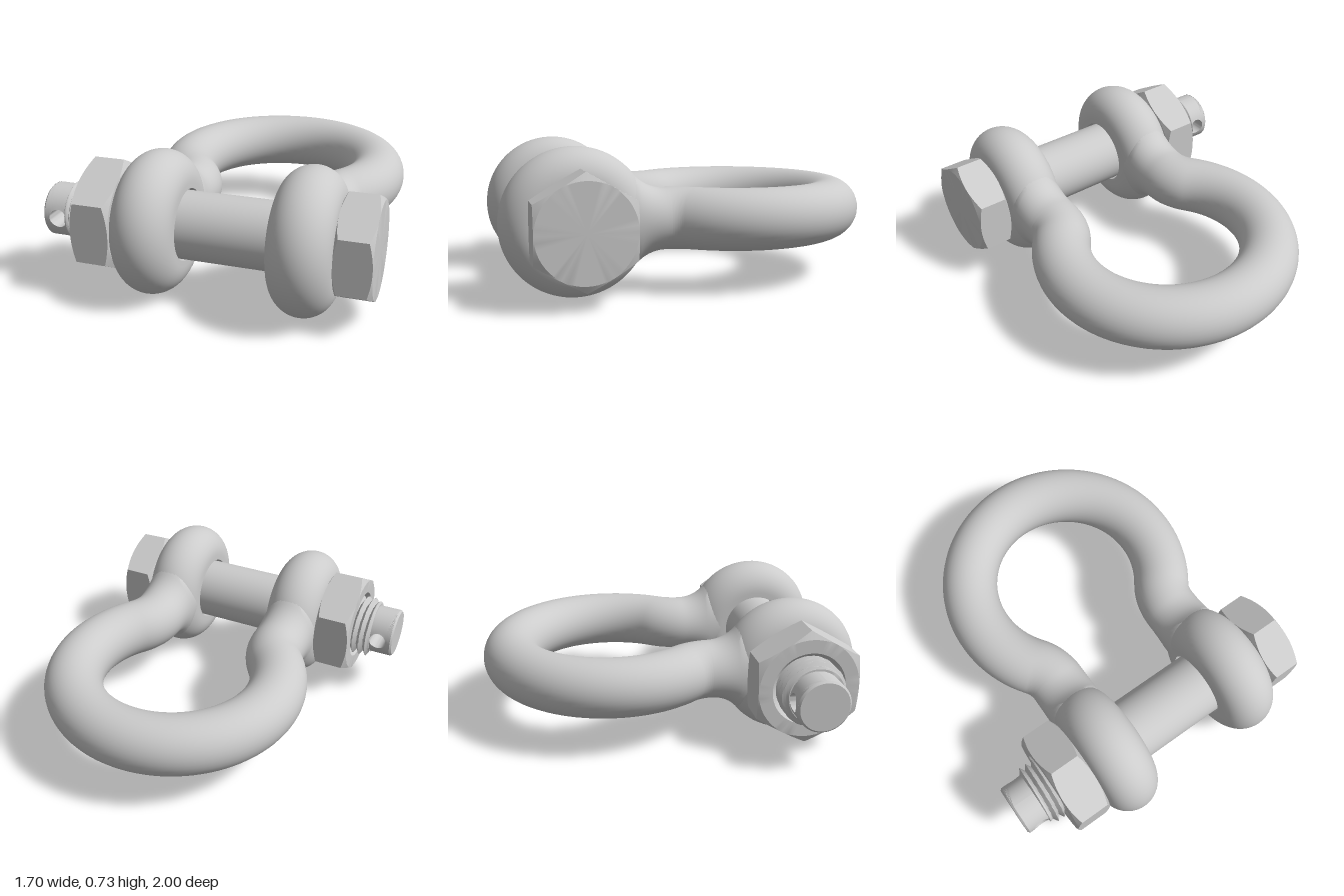
import * as THREE from 'three';
import { toCreasedNormals } from 'three/addons/utils/BufferGeometryUtils.js';

const material = new THREE.MeshStandardMaterial({ color: 0xcccccc, side: THREE.DoubleSide });
const AXIS_Y = 0.368, AXIS_Z = 0.63; // pin axis, running along x
const ROD = 0.155, PIN = 0.173;

// Surface from a rule f(i, j) -> [x, y, z] on an nu by nv grid of cells
function grid(nu, nv, f, crease = 0.6) {
  const pos = [], idx = [];
  for (let i = 0; i <= nu; i++) for (let j = 0; j <= nv; j++) pos.push(...f(i, j));
  for (let i = 0; i < nu; i++) {
    for (let j = 0; j < nv; j++) {
      const a = i * (nv + 1) + j, b = a + nv + 1;
      idx.push(a, b, b + 1, a, b + 1, a + 1);
    }
  }
  const g = new THREE.BufferGeometry();
  g.setAttribute('position', new THREE.Float32BufferAttribute(pos, 3));
  g.setIndex(idx);
  return toCreasedNormals(g, crease);
}

// Part turned about the x axis; profile(angle) gives [x, radius] pairs
function turned(profile, seg = 72, crease = 0.6) {
  return grid(seg, profile(0).length - 1, (i, j) => {
    const t = ((i % seg) / seg) * Math.PI * 2;
    const [x, r] = profile(t)[j];
    return [x, r * Math.cos(t), r * Math.sin(t)];
  }, crease);
}

// Hexagon with both ends chamfered; a bore gives a countersunk hole
function hexagon(x0, x1, corner, k, bore = 0) {
  const flat = corner * Math.cos(Math.PI / 6), sixth = Math.PI / 3;
  return turned((t) => {
    const local = (t % sixth) - sixth / 2;
    const r = flat / Math.cos(local);
    const cut = (r - flat) * k;
    const body = [[x0, flat - 0.002], [x0 + cut, r], [x1 - cut, r], [x1, flat - 0.002]];
    return bore
      ? [[x0 + 0.03, bore], [x0, bore + 0.025], ...body, [x1, bore]]
      : [[x0, 0], ...body, [x1, 0]];
  }, 96, 0.35);
}

// Eye: disc with a fully rounded rim and a hole for the pin
function eyeGeometry() {
  const hole = 0.183, pts = [[-ROD, hole]];
  for (let i = 0; i <= 24; i++) {
    const a = -Math.PI / 2 + (i / 24) * Math.PI;
    pts.push([ROD * Math.sin(a), 0.212 + ROD * Math.cos(a)]);
  }
  pts.push([ROD, hole], [-ROD, hole]);
  return turned(() => pts, 80);
}

// Bow: round rod swept along tangent arcs, growing taller where it meets the eyes
function bowGeometry() {
  const R = 0.55, cz = -0.295, r2 = 0.253, bend = 0.649, leg = 0.387, z0 = 0.19;
  const fillet = 0.196;
  const height = (z) => {
    const d = Math.max(AXIS_Z - z, 0.287);
    return d > 0.44 ? ROD : ROD + fillet - Math.sqrt(fillet ** 2 - (d - 0.44) ** 2);
  };
  const side = []; // stations: x, z, normal x, normal z
  for (let i = 0; i < 14; i++) side.push([-leg, 0.43 + (z0 - 0.43) * (i / 14), 1, 0]);
  for (let i = 0; i < 12; i++) {
    const a = (i / 12) * bend, c = Math.cos(a), s = Math.sin(a);
    side.push([-leg - r2 + r2 * c, z0 - r2 * s, c, -s]);
  }
  const path = [...side];
  for (let i = 0; i <= 72; i++) {
    const b = bend - (i / 72) * (Math.PI + 2 * bend), c = Math.cos(b), s = Math.sin(b);
    path.push([-R * c, cz + R * s, c, -s]);
  }
  for (const [x, z, nx, nz] of [...side].reverse()) path.push([-x, z, -nx, nz]);
  const seg = 40;
  return grid(path.length - 1, seg, (i, j) => {
    const [x, z, nx, nz] = path[i], a = ((j % seg) / seg) * Math.PI * 2;
    const w = ROD * Math.cos(a);
    return [x + nx * w, height(z) * Math.sin(a), z + nz * w];
  });
}

// Helical thread
function threadGeometry() {
  const x0 = -0.722, x1 = -0.59, pitch = 0.038, n = 56;
  return turned((t) => {
    const pts = [[x0, 0.12]];
    for (let i = 0; i <= n; i++) {
      const x = x0 + (x1 - x0) * (i / n);
      const p = (x - x0) / pitch + t / (Math.PI * 2) + 0.3;
      const tooth = 1 - Math.abs(2 * (p - Math.floor(p)) - 1);
      const fade = Math.min(1, 0.35 + (x - x0) / 0.025);
      pts.push([x, 0.14 + (PIN - 0.14) * tooth * fade]);
    }
    return pts;
  }, 72, 0.5);
}

// Tip half-shell: rings running from the cross hole to the edges, wrapped on a cylinder
const TIP = 0.137, HOLE = 0.047, HOLE_X = -0.768;
function tipShell(sign) {
  const x0 = -0.84, x1 = -0.7, nu = 64, nv = 10;
  return grid(nu, nv, (i, j) => {
    const a = ((i % nu) / nu) * Math.PI * 2 * sign, v = j / nv;
    const c = Math.cos(a), s = Math.sin(a), m = Math.max(Math.abs(c), Math.abs(s));
    const edgeX = (x0 + x1) / 2 + ((x1 - x0) / 2) * (c / m);
    const x = THREE.MathUtils.lerp(HOLE_X + HOLE * c, edgeX, v);
    const phi = THREE.MathUtils.lerp(Math.asin((HOLE * s) / TIP), (Math.PI / 2) * (s / m), v);
    return [x, TIP * Math.sin(phi), sign * TIP * Math.cos(phi)];
  }).scale(1, 1, 1);
}

// Wall of the cross hole
function holeWall() {
  const n = 40;
  return grid(n, 1, (i, j) => {
    const a = ((i % n) / n) * Math.PI * 2, y = HOLE * Math.sin(a);
    return [HOLE_X + HOLE * Math.cos(a), y, (j ? -1 : 1) * Math.sqrt(TIP * TIP - y * y)];
  });
}

export function createModel() {
  const model = new THREE.Group();
  model.name = 'bowShackle';
  const add = (parent, name, geometry, x = 0) => {
    const mesh = new THREE.Mesh(geometry, material);
    mesh.name = name;
    mesh.position.x = x;
    parent.add(mesh);
    return mesh;
  };

  // Bow with its two eyes
  const body = new THREE.Group();
  body.name = 'body';
  body.position.set(0.117, AXIS_Y, 0);
  add(body, 'bow', bowGeometry());
  const eye = eyeGeometry();
  add(body, 'leftEye', eye, 0.387).position.z = AXIS_Z;
  add(body, 'rightEye', eye, -0.387).position.z = AXIS_Z;
  model.add(body);

  // Bolt and nut
  const bolt = new THREE.Group();
  bolt.name = 'bolt';
  bolt.position.set(0, AXIS_Y, AXIS_Z);
  add(bolt, 'pin', turned(() => [[-0.59, 0], [-0.59, PIN], [0.67, PIN], [0.67, 0]]));
  add(bolt, 'boltHead', hexagon(0.663, 0.845, 0.276, 0.55));
  add(bolt, 'nut', hexagon(-0.627, -0.426, 0.307, 0.55, 0.168));
  add(bolt, 'thread', threadGeometry());
  add(bolt, 'tipFront', tipShell(1));
  add(bolt, 'tipBack', tipShell(-1));
  add(bolt, 'tipEnd', turned(() => [[-0.85, 0], [-0.85, TIP - 0.01], [-0.84, TIP]], 64));
  add(bolt, 'pinHole', holeWall());
  model.add(bolt);
  return model;
}
